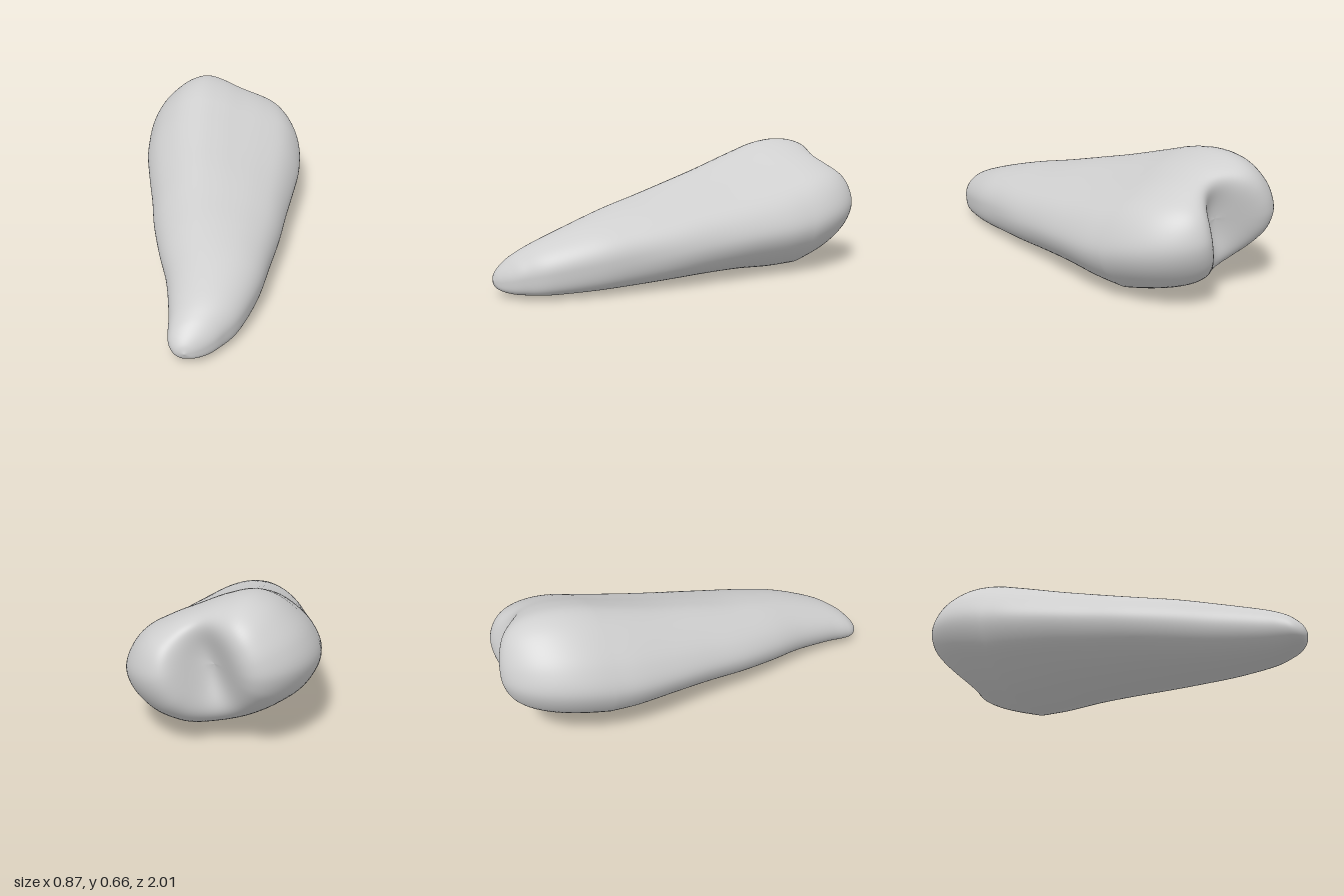
import * as THREE from 'three';

const AROUND = 96, BODY_RINGS = 80, CROWN_RINGS = 48;
const CROWN_Z = -0.55; // where the body turns into the chewing end

// Crown cross-section, counter-clockwise seen from the front
const OUTLINE = [
  [0.435, 0.27], [0.405, 0.38], [0.335, 0.475], [0.22, 0.545], [0.1, 0.6], [-0.02, 0.652],
  [-0.14, 0.68], [-0.23, 0.655], [-0.32, 0.588], [-0.4, 0.49], [-0.44, 0.36], [-0.38, 0.22],
  [-0.28, 0.135], [-0.18, 0.075], [-0.1, 0.04], [0, 0.013], [0.12, 0], [0.2, 0.015],
  [0.3, 0.06], [0.4, 0.165],
];

// Section bounds from root tip to crown: z, xMin, xMax, yMin, yMax
const SECTIONS = [
  [1, -0.112, -0.108, 0.078, 0.082], [0.985, -0.155, -0.06, 0.045, 0.12],
  [0.95, -0.182, 0, 0.028, 0.162], [0.9, -0.19, 0.053, 0.02, 0.204],
  [0.8, -0.196, 0.13, 0.015, 0.258], [0.6, -0.227, 0.212, 0.015, 0.33],
  [0.4, -0.283, 0.262, 0.015, 0.385], [0.2, -0.33, 0.31, 0.018, 0.43],
  [0, -0.362, 0.347, 0.02, 0.48], [-0.2, -0.4, 0.387, 0.018, 0.53],
  [-0.4, -0.433, 0.424, 0.006, 0.588], [CROWN_Z, -0.44, 0.437, 0.004, 0.635],
];

// Unit outline, centred and scaled to the range -1..1
function unitOutline() {
  const pts = OUTLINE.map(([x, y]) => new THREE.Vector3(x / 0.44, (y - 0.34) / 0.34, 0));
  return new THREE.CatmullRomCurve3(pts, true).getSpacedPoints(AROUND).slice(0, AROUND);
}

// Scale that turns an outline point into the root section: round, fuller at the lower left side
function rootScale(p) {
  const d = p.length();
  const n = 2 + 3 * Math.max(p.x / d, 0) * Math.max(-p.y / d, 0);
  return (Math.abs(p.x) ** n + Math.abs(p.y) ** n) ** (-1 / n);
}

function toothGeometry() {
  const outline = unitOutline();
  const low = new THREE.CatmullRomCurve3(
    SECTIONS.map(([z, x, , y]) => new THREE.Vector3(x, y, z)), false, 'catmullrom');
  const high = new THREE.CatmullRomCurve3(
    SECTIONS.map(([z, , x, , y]) => new THREE.Vector3(x, y, z)), false, 'catmullrom');
  const positions = [], indices = [];

  // Root and body: round at the tip, taking on the crown outline further back
  for (let i = 0; i <= BODY_RINGS; i++) {
    const a = low.getPoint(i / BODY_RINGS), b = high.getPoint(i / BODY_RINGS);
    const w = THREE.MathUtils.smoothstep(-a.z, -0.9, 0.5);
    for (const p of outline) {
      const k = THREE.MathUtils.lerp(rootScale(p), 1, w);
      positions.push(
        (a.x + b.x) / 2 + p.x * k * (b.x - a.x) / 2,
        (a.y + b.y) / 2 + p.y * k * (b.y - a.y) / 2,
        a.z);
    }
  }

  // Crown: a full dome, parted into two cusps by a slanted groove that fades towards the rim
  const [, x0, x1, y0, y1] = SECTIONS[SECTIONS.length - 1];
  for (let i = 1; i <= CROWN_RINGS; i++) {
    const phi = (i / CROWN_RINGS) * Math.PI / 2;
    const s = Math.max(Math.cos(phi), 0) ** (2 / 2.4);
    const rise = Math.sin(phi) ** (2 / 2.4);
    const lift = 0.065 * (1 - (1 - rise) ** 2);
    for (const p of outline) {
      const x = (x0 + x1) / 2 + p.x * s * (x1 - x0) / 2;
      const y = (y0 + y1) / 2 + p.y * s * (y1 - y0) / 2 + lift;
      const across = (x - 0.02) * 0.96 - (y - 0.38) * 0.27;
      const height = 0.485 - 0.016 * Math.tanh(across / 0.15);
      const groove = 0.2 * Math.exp(-((across / 0.135) ** 2)) * rise ** 4;
      positions.push(x, y, CROWN_Z - height * rise + groove);
    }
  }

  // Skin between neighbouring rings
  for (let i = 0; i < BODY_RINGS + CROWN_RINGS; i++) {
    for (let j = 0; j < AROUND; j++) {
      const a = i * AROUND + j, c = i * AROUND + (j + 1) % AROUND;
      indices.push(a, a + AROUND, c, c, a + AROUND, c + AROUND);
    }
  }
  // Close the root tip
  const tip = positions.length / 3;
  positions.push(-0.11, 0.08, 1);
  for (let j = 0; j < AROUND; j++) indices.push(tip, j, (j + 1) % AROUND);

  const geometry = new THREE.BufferGeometry();
  geometry.setAttribute('position', new THREE.Float32BufferAttribute(positions, 3));
  geometry.setIndex(indices);
  geometry.computeVertexNormals();
  return geometry;
}

export function createModel() {
  const enamel = new THREE.MeshStandardMaterial({ color: 0xcfcfcf });
  enamel.name = 'enamel grey';
  const tooth = new THREE.Mesh(toothGeometry(), enamel);
  tooth.name = 'tooth';
  const group = new THREE.Group();
  group.name = 'toothModel';
  group.add(tooth);
  return group;
}
